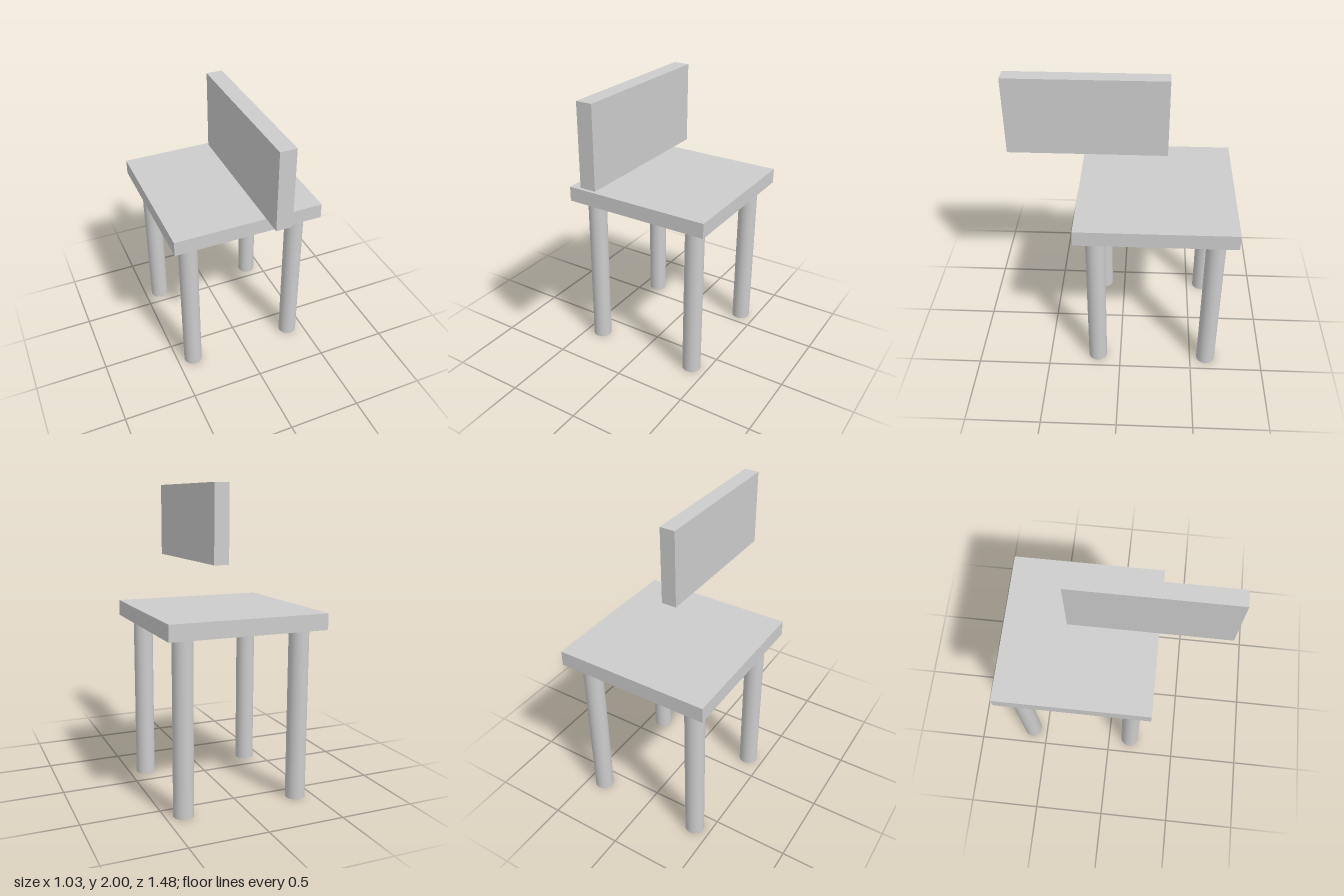
import * as THREE from 'three';

export function createModel() {
  const model = new THREE.Group();
  model.name = 'chair';
  const grey = new THREE.MeshStandardMaterial({ color: 0xcccccc });
  grey.name = 'light grey';

  const width = 1.03;      // side of the square seat, length of the backrest
  const thickness = 0.103; // seat and backrest boards
  const legHeight = 1.11;
  const seatZ = -0.225;

  const add = (name, geometry, x, y, z) => {
    const mesh = new THREE.Mesh(geometry, grey);
    mesh.name = name;
    mesh.position.set(x, y, z);
    model.add(mesh);
  };

  // Square seat board
  add('seat', new THREE.BoxGeometry(width, thickness, width), 0, legHeight + thickness / 2, seatZ);

  // Floating backrest board, running front to back
  const backHeight = width / 2;
  add('backrest', new THREE.BoxGeometry(thickness, backHeight, width), 0, 2 - backHeight / 2, -seatZ);

  // Four round legs
  const legGeometry = new THREE.CylinderGeometry(0.064, 0.064, legHeight, 32);
  for (const [endName, sz] of [['front', 1], ['back', -1]]) {
    for (const [sideName, sx] of [['Left', 1], ['Right', -1]]) {
      add(`${endName}${sideName}Leg`, legGeometry, sx * 0.386, legHeight / 2, seatZ + sz * 0.386);
    }
  }
  return model;
}
